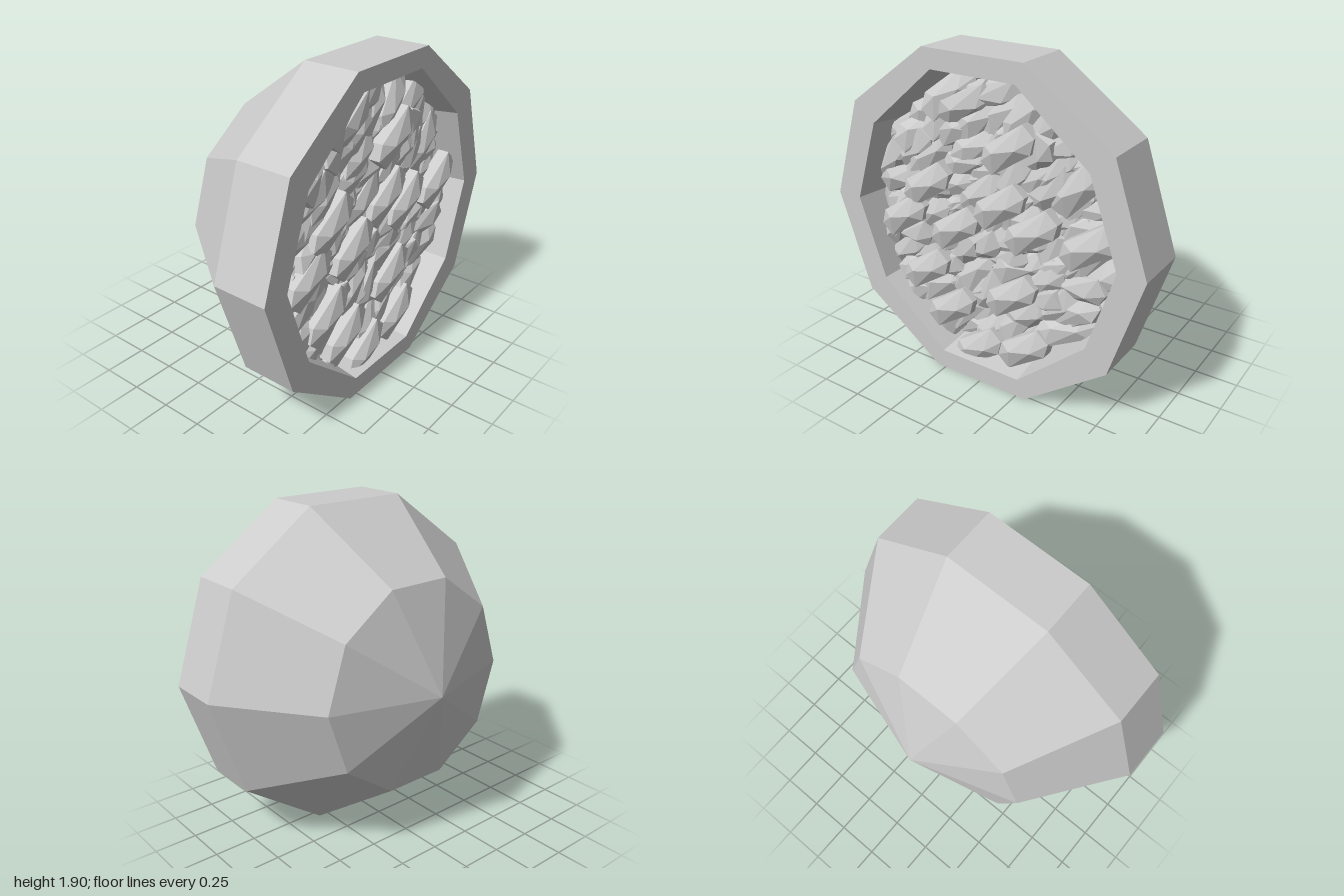
import * as THREE from 'three';
import { ConvexGeometry } from 'three/addons/geometries/ConvexGeometry.js';

const SIDES = 10, CY = 0.951;
const mat = new THREE.MeshStandardMaterial({ color: 0xcccccc, flatShading: true });

// Small seeded generator for the loose filling
let seed = 7;
const rand = () => (seed = (seed * 16807) % 2147483647) / 2147483647;
const spread = (amount) => (rand() - 0.5) * amount;

// Decagon ring facing +z; inner rings have their own stretch per corner
function ring(r, z, inner) {
  const points = [];
  for (let i = 0; i < SIDES; i++) {
    const a = (i / SIDES) * Math.PI * 2;
    const x = Math.cos(a), y = Math.sin(a);
    const sy = Math.abs(y) > 0.8 ? 0.883 : 0.816;
    points.push([x * r * (inner ? 0.84 : 1), y * r * (inner ? sy : 1), z]);
  }
  return points;
}

// Thick faceted bowl: outside from the tip to the rim, then down the inside
function bowlGeometry() {
  const rings = [
    ring(0, -0.523), ring(0.615, -0.33), ring(1, 0.2), ring(1, 0.523),
    ring(1, 0.523, true), ring(0.95, 0.2, true), ring(0.6, -0.23, true), ring(0, -0.36, true),
  ];
  const pos = [];
  for (let k = 0; k < rings.length - 1; k++) {
    for (let i = 0; i < SIDES; i++) {
      const j = (i + 1) % SIDES;
      const [a, b, c, d] = [rings[k][i], rings[k][j], rings[k + 1][j], rings[k + 1][i]];
      // The first and last rings are single points, so they need one triangle per side
      if (k > 0) pos.push(...a, ...b, ...d);
      if (k < rings.length - 2) pos.push(...b, ...c, ...d);
    }
  }
  const g = new THREE.BufferGeometry();
  g.setAttribute('position', new THREE.Float32BufferAttribute(pos, 3));
  g.computeVertexNormals();
  return g;
}

// Slanted six-sided grain with a straight edge band and a low ridge on both faces
function grainGeometry() {
  const half = [[-0.165, -0.09], [-0.14, 0], [0.095, 0.155]];
  const pts = [];
  for (const s of [1, -1]) {
    for (const [x, y] of half) {
      for (const z of [-0.035, 0.035]) pts.push(new THREE.Vector3(s * x, s * y, z));
    }
    for (const z of [-0.075, 0.075]) pts.push(new THREE.Vector3(s * 0.07, s * 0.02, z));
  }
  return new ConvexGeometry(pts);
}

export function createModel() {
  const model = new THREE.Group();
  const bowl = new THREE.Mesh(bowlGeometry(), mat);
  bowl.name = 'bowl';
  bowl.position.y = CY;
  model.add(bowl);

  const grain = grainGeometry();
  const addGrain = (parent, name, x, y, z) => {
    const m = new THREE.Mesh(grain, mat);
    m.name = name;
    m.position.set(x, y, z);
    parent.add(m);
    return m;
  };

  // Top grains, all lying the same way
  const top = new THREE.Group();
  top.name = 'topGrains';
  const spots = [
    [0.16, 1.42], [-0.39, 1.11], [0.10, 1.09], [0.30, 0.99], [0.64, 1.0], [-0.20, 0.89],
    [-0.57, 0.88], [-0.42, 0.575], [0.17, 0.575], [-0.25, 0.37], [0.25, 0.265], [-0.06, 0.17],
  ];
  for (const [x, y] of spots) addGrain(top, 'topGrain', x, y, 0.42);
  model.add(top);

  // Packed grains below, spread in spirals, lying nearly the same way and overlapping
  const fill = new THREE.Group();
  fill.name = 'packedGrains';
  const layers = [[120, 0.74, 0.33], [80, 0.72, 0.24]];
  for (const [count, radius, z] of layers) {
    for (let i = 0; i < count; i++) {
      const r = radius * Math.sqrt((i + 0.5) / count), a = i * 2.39996;
      const m = addGrain(fill, 'packedGrain', r * Math.cos(a), CY + r * Math.sin(a), z + spread(0.07));
      m.rotation.set(spread(0.6), spread(0.6), spread(0.8));
    }
  }
  model.add(fill);
  return model;
}
